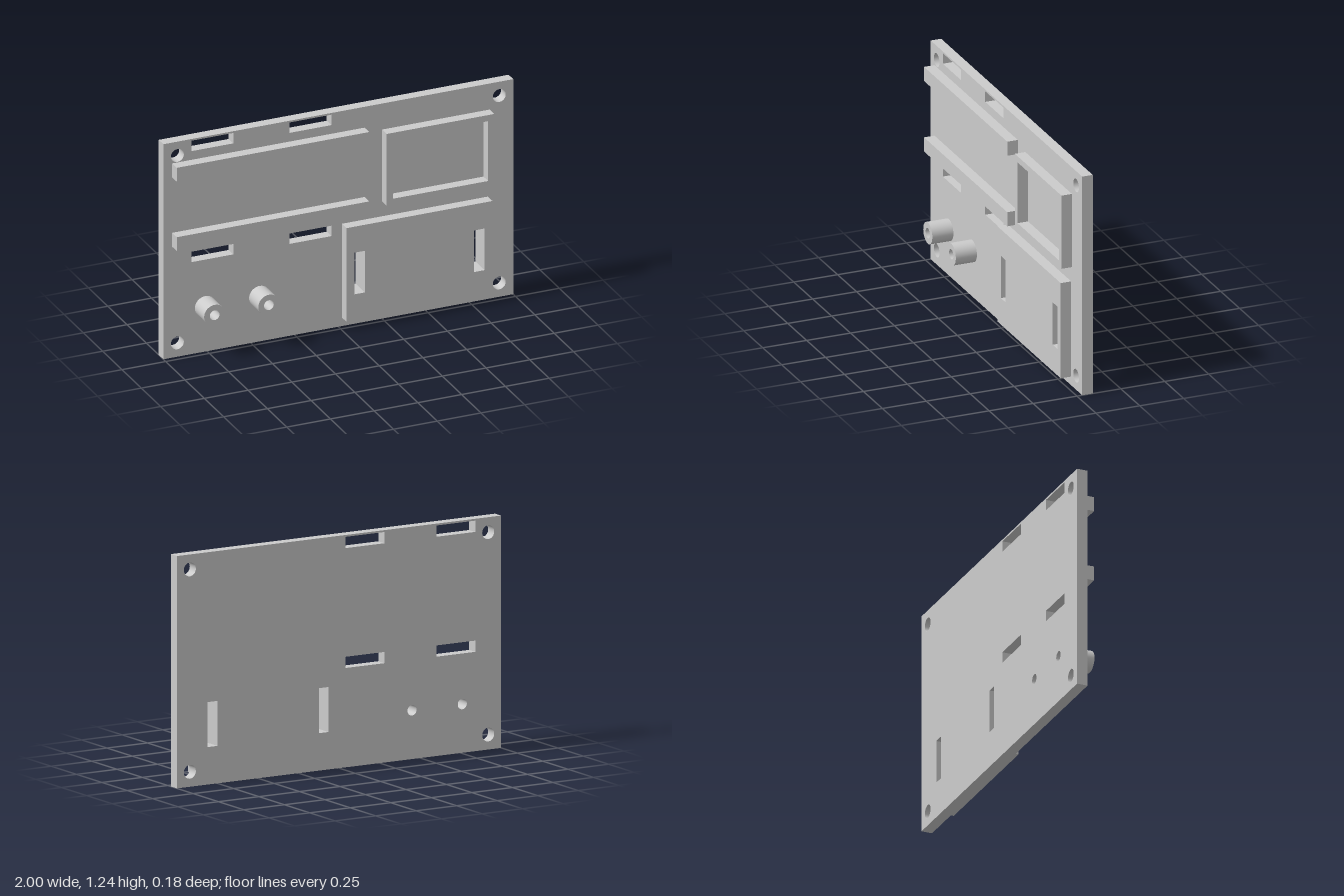
import * as THREE from 'three';

const BACK = -0.09, FACE = -0.03, RAISED = 0.03, TIP = 0.09;

export function createModel() {
  const group = new THREE.Group();
  const material = new THREE.MeshStandardMaterial({ color: 0xcccccc });

  const rect = (x0, x1, y0, y1, Type = THREE.Shape) => new Type([
    new THREE.Vector2(x0, y0), new THREE.Vector2(x1, y0),
    new THREE.Vector2(x1, y1), new THREE.Vector2(x0, y1),
  ]);
  const slot = (x0, x1, y0, y1) => rect(x0, x1, y0, y1, THREE.Path);
  const circle = (x, y, r, Type = THREE.Path) => new Type().absarc(x, y, r, 0, Math.PI * 2);

  // Extrude an outline with holes between two depths
  function addPart(name, shape, holes, z0, z1) {
    shape.holes.push(...holes);
    const geometry = new THREE.ExtrudeGeometry(shape, { depth: z1 - z0, bevelEnabled: false, curveSegments: 24 });
    geometry.translate(0, 0, z0);
    smoothRoundWalls(geometry);
    const mesh = new THREE.Mesh(geometry, material);
    mesh.name = name;
    group.add(mesh);
  }

  // Round bores and posts: centre and radius, shared by shapes and wall shading
  const mountHoles = [];
  for (const x of [-0.92, 0.92]) for (const y of [0.08, 1.16]) mountHoles.push([x, y, 0.037]);
  const posts = [[-0.76, 0.26], [-0.45, 0.26]];
  const bores = posts.map(([x, y]) => [x, y, 0.028]);
  const rounds = [...mountHoles, ...bores, ...posts.map(([x, y]) => [x, y, 0.06])];

  // Give side walls lying on a circle radial normals
  function smoothRoundWalls(geometry) {
    const p = geometry.attributes.position, n = geometry.attributes.normal;
    for (let i = 0; i < p.count; i++) {
      if (Math.abs(n.getZ(i)) > 0.5) continue;
      for (const [cx, cy, r] of rounds) {
        const dx = p.getX(i) - cx, dy = p.getY(i) - cy;
        if (Math.abs(Math.hypot(dx, dy) - r) > 1e-4) continue;
        const s = Math.sign(dx * n.getX(i) + dy * n.getY(i)) / r;
        n.setXYZ(i, dx * s, dy * s, 0);
      }
    }
  }

  // Strap slots: horizontal pairs in the plate, vertical pair through the pad
  const strapSlots = [];
  for (const x of [-0.84, -0.28]) for (const y of [0.53, 1.17]) strapSlots.push([x, x + 0.24, y, y + 0.06]);
  const padSlots = [[0.065, 0.125, 0.2, 0.44], [0.75, 0.81, 0.2, 0.44]];

  // Base plate
  addPart('basePlate', rect(-1, 1, 0, 1.24), [
    ...[...strapSlots, ...padSlots].map((s) => slot(...s)),
    ...[...mountHoles, ...bores].map((c) => circle(...c)),
  ], BACK, FACE);

  // Long rails
  addPart('upperRail', rect(-0.95, 0.15, 1.04, 1.12), [], FACE, RAISED);
  addPart('lowerRail', rect(-0.95, 0.15, 0.64, 0.72), [], FACE, RAISED);

  // Rectangular frame
  addPart('frame', rect(0.25, 0.865, 0.675, 1.09), [slot(0.285, 0.83, 0.71, 1.055)], FACE, RAISED);

  // Raised pad with slots
  addPart('raisedPad', rect(0.02, 0.855, 0.05, 0.59), padSlots.map((s) => slot(...s)), FACE, RAISED);

  // Hollow standoffs
  posts.forEach(([x, y], i) => {
    addPart(`standoff${i + 1}`, circle(x, y, 0.06, THREE.Shape), [circle(...bores[i])], FACE, TIP);
  });

  return group;
}
